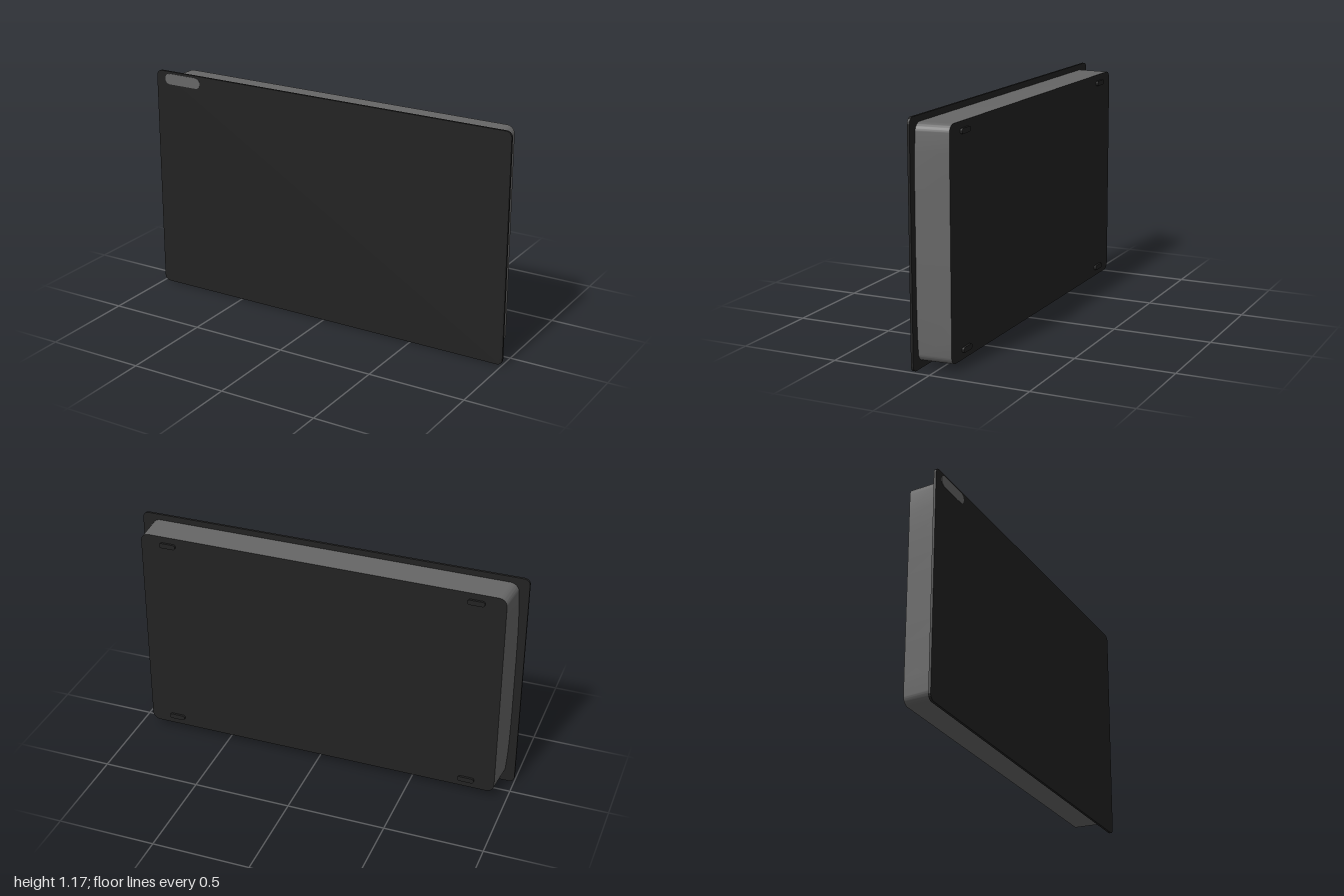
import * as THREE from 'three';
import { toCreasedNormals } from 'three/addons/utils/BufferGeometryUtils.js';

const H = 1.175, MID = H / 2;

// Rounded rectangle centred on the origin; side edges are divided so they can bow
function roundedRect(w, h, r, sideSteps = 1) {
  const s = new THREE.Shape();
  const x = w / 2, y = h / 2, q = Math.PI / 2;
  s.moveTo(-x + r, -y);
  s.lineTo(x - r, -y);
  s.absarc(x - r, -y + r, r, -q, 0);
  for (let i = 1; i < sideSteps; i++) s.lineTo(x, -y + r + (i / sideSteps) * (h - 2 * r));
  s.lineTo(x, y - r);
  s.absarc(x - r, y - r, r, 0, q);
  s.lineTo(-x + r, y);
  s.absarc(-x + r, y - r, r, q, 2 * q);
  for (let i = 1; i < sideSteps; i++) s.lineTo(-x, y - r - (i / sideSteps) * (h - 2 * r));
  s.lineTo(-x, -y + r);
  s.absarc(-x + r, -y + r, r, 2 * q, 3 * q);
  return s;
}

function slab(shape, z0, z1) {
  const g = new THREE.ExtrudeGeometry(shape, { depth: z1 - z0, bevelEnabled: false, curveSegments: 8 });
  return g.translate(0, 0, z0);
}

export function createModel() {
  const group = new THREE.Group();
  const black = new THREE.MeshStandardMaterial({ color: 0x222222 });
  black.name = 'black';
  const grey = new THREE.MeshStandardMaterial({ color: 0x666666 });
  grey.name = 'grey';

  const add = (name, geometry, material, x, y) => {
    const mesh = new THREE.Mesh(toCreasedNormals(geometry, 0.6), material);
    mesh.name = name;
    mesh.position.set(x, y, 0);
    group.add(mesh);
  };

  // Thin front plate
  add('frontPlate', slab(roundedRect(2, H, 0.03), 0.082, 0.094), black, 0, MID);

  // Housing: grey walls and black back, its sides flaring towards the plate
  const zBack = -0.081, zFront = 0.083, bodyH = 1.11;
  const body = slab(roundedRect(1.87, bodyH, 0.04, 12), zBack, zFront);
  const p = body.attributes.position;
  for (let i = 0; i < p.count; i++) {
    const t = (p.getZ(i) - zBack) / (zFront - zBack);
    const v = p.getY(i) / (bodyH / 2);
    const flare = 0.012 + 0.016 * (1 - v ** 4);
    p.setX(i, p.getX(i) * (1 + t * flare));
  }
  add('housing', body, [black, grey], 0, 0.59);

  // Pill-shaped badge on the upper front corner
  add('badge', slab(roundedRect(0.215, 0.056, 0.027), 0.092, 0.096), grey, -0.84, 1.136);

  // Four small feet on the back
  for (const x of [-0.79, 0.79]) {
    for (const y of [0.08, 1.1]) {
      add('foot', slab(roundedRect(0.085, 0.026, 0.0125), -0.092, -0.08), black, x, y);
    }
  }
  return group;
}
